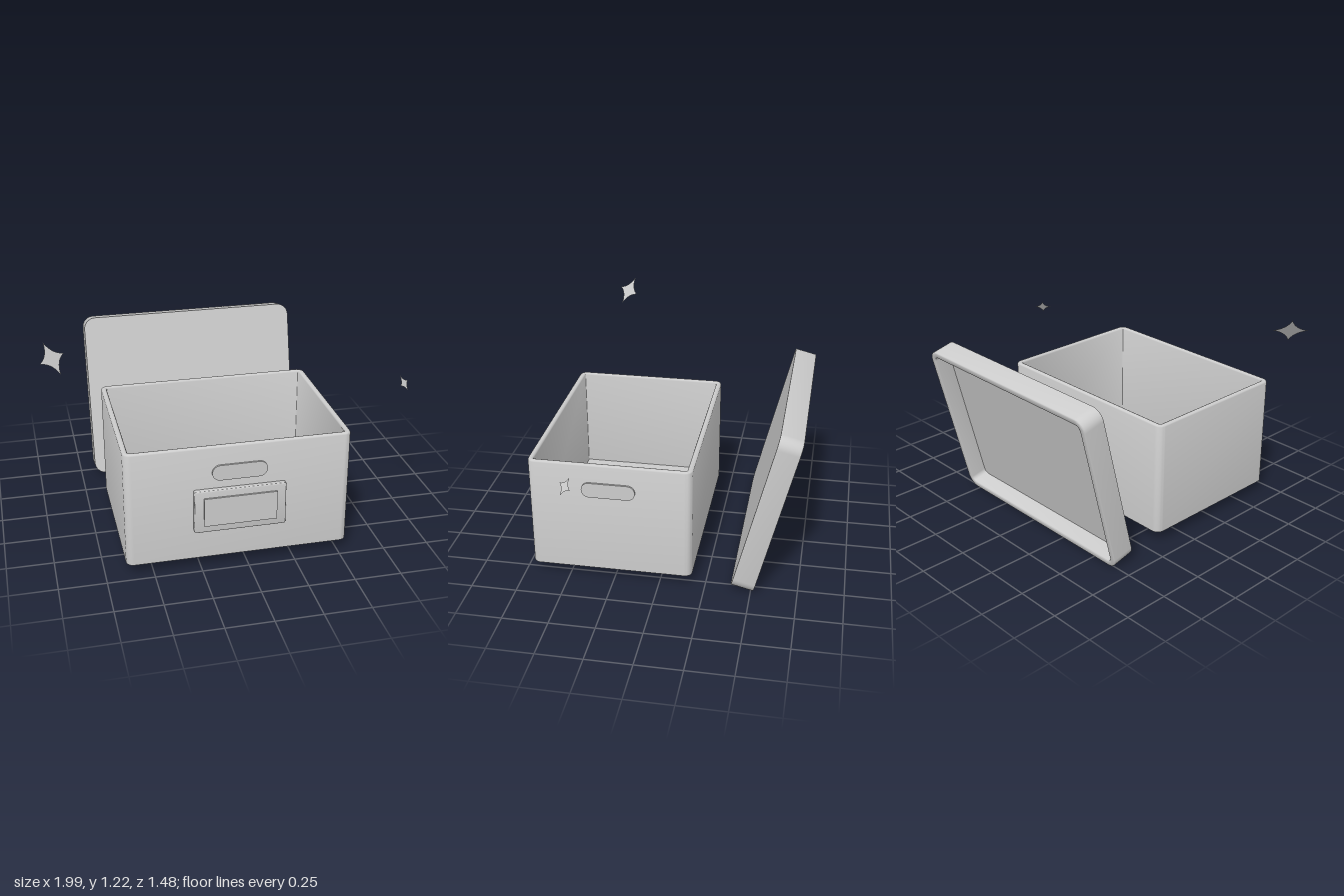
import * as THREE from 'three';
import { toCreasedNormals } from 'three/addons/utils/BufferGeometryUtils.js';

const grey = new THREE.MeshStandardMaterial({ color: 0xcccccc });
grey.name = 'light grey';
const greyThin = new THREE.MeshStandardMaterial({ color: 0xcccccc, side: THREE.DoubleSide });
greyThin.name = 'light grey thin';

function mesh(name, geometry, material = grey) {
  const m = new THREE.Mesh(geometry, material);
  m.name = name;
  return m;
}

// Counter-clockwise rounded rectangle outline, w by h
function outline(w, h, r, steps = 8) {
  const points = [];
  for (let c = 0; c < 4; c++) {
    const cx = (c === 0 || c === 3 ? 1 : -1) * (w / 2 - r);
    const cy = (c < 2 ? 1 : -1) * (h / 2 - r);
    for (let i = 0; i <= steps; i++) {
      const a = (c + i / steps) * Math.PI / 2;
      points.push(new THREE.Vector2(cx + r * Math.cos(a), cy + r * Math.sin(a)));
    }
  }
  return points;
}

// Hollow tray opening toward +z: rounded outlines follow a wall profile of [inset, height]
function tray(w, h, r, depth, wall, floor, soft) {
  const s = soft * 0.3;
  const profile = [
    [0, 0], [0, depth - soft], [s, depth - s], [soft, depth],
    [wall - soft, depth], [wall - s, depth - s], [wall, depth - soft], [wall, floor],
  ];
  const positions = [0, 0, 0];
  const index = [];
  let n = 0;
  for (const [inset, z] of profile) {
    const ring = outline(w - 2 * inset, h - 2 * inset, Math.max(r - inset, 0.008));
    n = ring.length;
    for (const p of ring) positions.push(p.x, p.y, z);
  }
  positions.push(0, 0, floor);
  const last = positions.length / 3 - 1;
  for (let j = 0; j < n; j++) {
    const k = (j + 1) % n;
    index.push(0, 1 + k, 1 + j);
    for (let i = 0; i < profile.length - 1; i++) {
      const a = 1 + i * n, b = a + n;
      index.push(a + j, a + k, b + k, a + j, b + k, b + j);
    }
    index.push(last - n + j, last - n + k, last);
  }
  const g = new THREE.BufferGeometry();
  g.setAttribute('position', new THREE.Float32BufferAttribute(positions, 3));
  g.setIndex(index);
  return toCreasedNormals(g, 0.9);
}

// Raised rounded pad standing on z = 0
function pad(w, h, r, depth, bevel) {
  const shape = new THREE.Shape(outline(w - 2 * bevel, h - 2 * bevel, Math.max(r - bevel, 0.003)));
  const g = new THREE.ExtrudeGeometry(shape, {
    depth: depth - bevel, bevelEnabled: bevel > 0,
    bevelSize: bevel, bevelThickness: bevel, bevelSegments: 3,
  });
  return toCreasedNormals(g, 0.6);
}

// Four-pointed sparkle with concave sides
function sparkle(name, radius, x, y, z) {
  const shape = new THREE.Shape().moveTo(radius, 0);
  const c = radius * 0.2;
  shape.quadraticCurveTo(c, c, 0, radius);
  shape.quadraticCurveTo(-c, c, -radius, 0);
  shape.quadraticCurveTo(-c, -c, 0, -radius);
  shape.quadraticCurveTo(c, -c, radius, 0);
  const m = mesh(name, new THREE.ShapeGeometry(shape, 10), greyThin);
  m.position.set(x, y, z);
  m.lookAt(x + 1, y + 1, z + 1);
  return m;
}

export function createModel() {
  const group = new THREE.Group();
  group.name = 'storageBox';
  const cx = -0.045, front = 0.708, side = 0.55;

  // Open box
  const box = mesh('box', tray(1.19, 0.885, 0.04, 0.638, 0.03, 0.03, 0.01));
  box.rotation.x = -Math.PI / 2;
  box.position.set(cx, 0.062, 0.266);
  group.add(box);

  // Hand grips on the front and left side
  const frontGrip = mesh('frontGrip', pad(0.29, 0.085, 0.042, 0.01, 0));
  frontGrip.position.set(cx, 0.553, front);
  const sideGrip = mesh('sideGrip', pad(0.29, 0.085, 0.042, 0.01, 0));
  sideGrip.rotation.y = Math.PI / 2;
  sideGrip.position.set(side, 0.553, 0.27);
  group.add(frontGrip, sideGrip);

  // Label holder with a raised card
  const holder = mesh('labelHolder', pad(0.485, 0.24, 0.01, 0.027, 0.007));
  holder.position.set(cx, 0.345, front);
  const card = mesh('labelCard', new THREE.BoxGeometry(0.385, 0.16, 0.016));
  card.position.set(cx, 0.345, front + 0.028);
  group.add(holder, card);

  // Lid leaning back behind the box, hollow side to the rear
  const lid = new THREE.Group();
  lid.name = 'lid';
  const shell = mesh('lidShell', tray(1.255, 0.948, 0.065, 0.125, 0.035, 0.03, 0.006));
  shell.rotation.y = Math.PI;
  shell.position.z = 0.0625;
  lid.add(shell);
  lid.rotation.x = -0.244;
  lid.position.set(cx, 0.476, -0.566);
  group.add(lid);

  // Floating sparkles
  group.add(sparkle('largeSparkle', 0.091, -0.934, 1.145, 0.461));
  group.add(sparkle('smallSparkle', 0.05, 0.957, 0.8, 0.383));
  return group;
}
